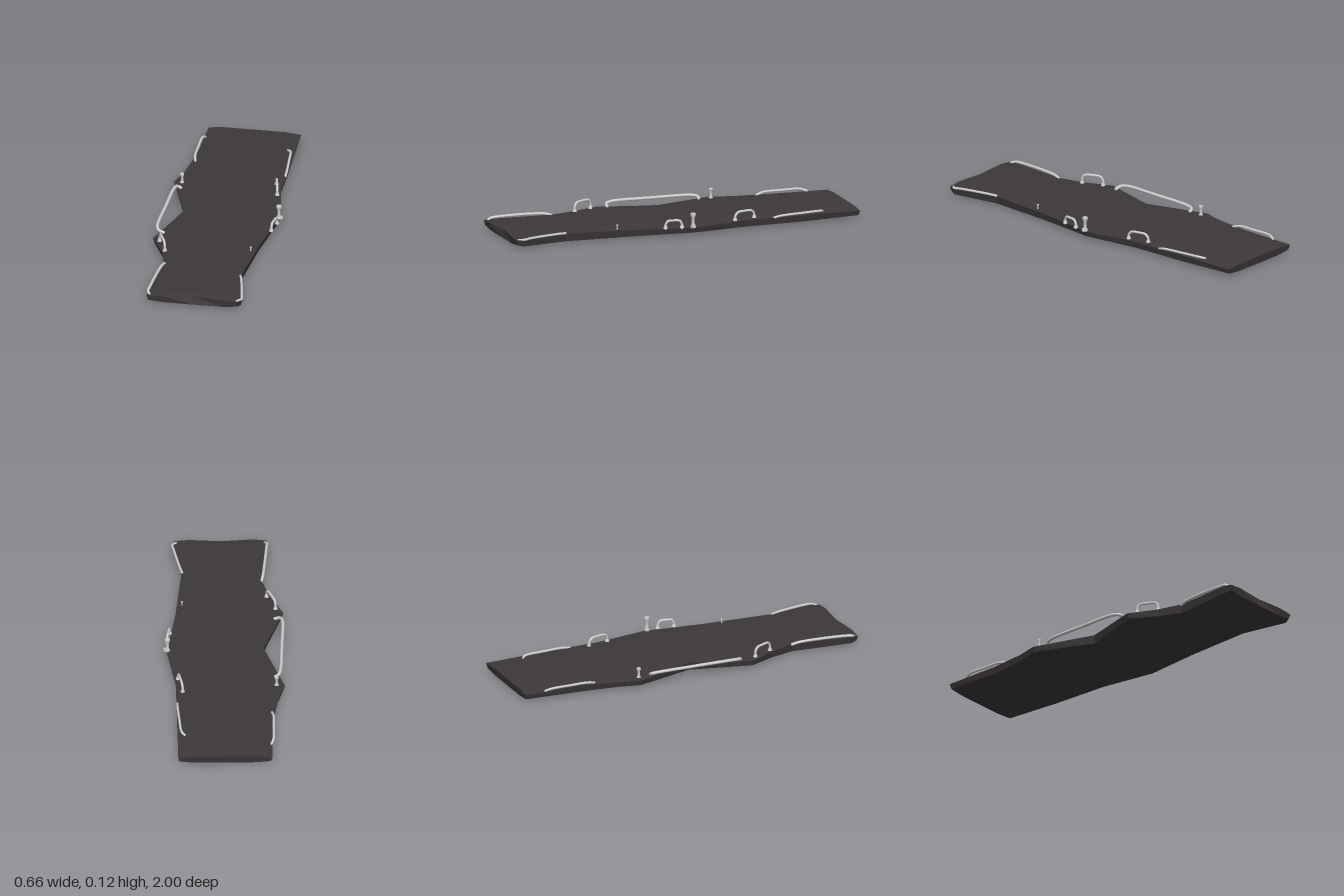
import * as THREE from 'three';

export function createModel() {
  const model = new THREE.Group();
  const dark = new THREE.MeshStandardMaterial({ color: 0x3d383a, flatShading: true });
  const metal = new THREE.MeshStandardMaterial({ color: 0xcccccc });
  const add = (name, geometry, material = metal, parent = model) => {
    const mesh = new THREE.Mesh(geometry, material);
    mesh.name = name;
    parent.add(mesh);
    return mesh;
  };

  // Deck outline: z, left-hand edge x, right-hand edge x
  const leftEdge = [[-1, -0.253], [-0.67, -0.262], [-0.46, -0.295], [-0.34, -0.33], [0, -0.218],
    [0.33, -0.33], [0.48, -0.258], [0.62, -0.215], [0.95, -0.255], [1, -0.25]];
  const rightEdge = [[-1, 0.26], [-0.33, 0.265], [-0.02, 0.312], [0.1, 0.292], [0.32, 0.258],
    [0.7, 0.22], [0.96, 0.272], [1, 0.255]];
  const xAt = (edge, z) => {
    let i = 0;
    while (i < edge.length - 2 && z > edge[i + 1][0]) i++;
    const [a, b] = [edge[i], edge[i + 1]];
    return a[1] + (b[1] - a[1]) * (z - a[0]) / (b[0] - a[0]);
  };
  const topY = x => 0.06 - 0.012 * THREE.MathUtils.clamp((Math.abs(x) - 0.17) / 0.12, 0, 1);
  const bottomY = x => 0.004 + 0.015 * THREE.MathUtils.clamp((Math.abs(x) - 0.16) / 0.15, 0, 1);

  // Deck: cross-section rings along z, crowned above and below, ends tucked in
  const stations = [...new Set([...leftEdge, ...rightEdge].map(p => p[0]))].sort((a, b) => a - b);
  const across = [0, 0.16, 0.5, 0.84, 1];
  const pos = [], idx = [], n = across.length * 2;
  for (const z of stations) {
    const l = xAt(leftEdge, z), r = xAt(rightEdge, z), end = Math.abs(z) === 1;
    for (const t of across) {
      const x = l + (r - l) * t;
      pos.push(x, topY(x) - (end ? 0.004 : 0), z - (z === 1 && t === 0.5 ? 0.015 : 0));
    }
    for (const t of [...across].reverse()) {
      const x = (l + 0.008) + (r - l - 0.016) * t;
      pos.push(x, bottomY(x) + (end ? 0.008 : 0), z * (end ? 0.994 : 1));
    }
  }
  for (let s = 0; s < stations.length - 1; s++) {
    for (let i = 0; i < n; i++) {
      const a = s * n + i, b = s * n + (i + 1) % n;
      idx.push(a, a + n, b, b, a + n, b + n);
    }
  }
  const last = (stations.length - 1) * n;
  for (let i = 0; i < across.length - 1; i++) {
    const a = i, b = i + 1, c = n - 2 - i, d = n - 1 - i;
    idx.push(a, b, c, a, c, d);
    idx.push(last + a, last + c, last + b, last + a, last + d, last + c);
  }
  const deck = new THREE.BufferGeometry();
  deck.setAttribute('position', new THREE.Float32BufferAttribute(pos, 3));
  deck.setIndex(idx);
  deck.computeVertexNormals();
  add('deck', deck, dark);

  // Bent tube through a few points, with capped ends
  const tube = (name, points, radius, parent = model) => {
    const pts = points.map(p => new THREE.Vector3(...p));
    const curve = new THREE.CatmullRomCurve3(pts, false, 'centripetal');
    add(name, new THREE.TubeGeometry(curve, 48, radius, 10), metal, parent);
    for (const p of [pts[0], pts[pts.length - 1]]) {
      add(name + 'End', new THREE.SphereGeometry(radius, 10, 6), metal, parent).position.copy(p);
    }
  };

  // Edge rails
  tube('longSideRail', [[-0.28, 0.055, -0.262], [-0.295, 0.064, -0.262], [-0.306, 0.07, -0.235],
    [-0.318, 0.073, 0], [-0.323, 0.071, 0.235], [-0.31, 0.064, 0.265], [-0.283, 0.055, 0.27]], 0.009);
  tube('frontLeftRail', [[-0.215, 0.052, 0.62], [-0.223, 0.062, 0.66], [-0.246, 0.062, 0.92],
    [-0.248, 0.056, 0.965], [-0.228, 0.04, 0.99]], 0.008);
  tube('frontRightRail', [[0.217, 0.055, 0.7], [0.228, 0.058, 0.74], [0.262, 0.056, 0.92],
    [0.267, 0.052, 0.96], [0.246, 0.048, 0.982]], 0.007);
  tube('rearRightRail', [[0.222, 0.054, -0.795], [0.238, 0.06, -0.775], [0.25, 0.06, -0.66],
    [0.258, 0.057, -0.54], [0.258, 0.05, -0.5]], 0.007);
  tube('rearLeftRail', [[-0.25, 0.052, -0.88], [-0.261, 0.063, -0.85], [-0.264, 0.065, -0.74],
    [-0.264, 0.063, -0.63], [-0.256, 0.052, -0.59]], 0.007);

  // Arched grab handles on flared feet
  const handle = (name, x0, z0, x1, z1, top) => {
    const group = new THREE.Group();
    group.name = name;
    const at = (t, y) => [x0 + (x1 - x0) * t, y, z0 + (z1 - z0) * t];
    tube('handleBar', [at(0, 0.05), at(0.02, top - 0.02), at(0.15, top - 0.003), at(0.5, top),
      at(0.85, top - 0.003), at(0.98, top - 0.02), at(1, 0.05)], 0.007, group);
    for (const t of [0, 1]) {
      add('handleFoot', new THREE.CylinderGeometry(0.008, 0.013, 0.016, 12), metal, group)
        .position.set(...at(t, 0.06));
    }
    model.add(group);
  };
  handle('frontLeftHandle', -0.288, 0.365, -0.24, 0.475, 0.105);
  handle('middleRightHandle', 0.308, 0.055, 0.292, 0.145, 0.095);
  handle('rearRightHandle', 0.228, -0.395, 0.252, -0.275, 0.098);

  // Waisted mooring posts
  const post = (name, x, z, r, h) => {
    const profile = [[0, 0], [1, 0], [1, 0.12], [0.55, 0.3], [0.55, 0.68], [0.95, 0.8], [1, 0.96], [0.85, 1], [0, 1]]
      .map(([a, b]) => new THREE.Vector2(a * r, b * h));
    add(name, new THREE.LatheGeometry(profile, 16), metal).position.set(x, 0.046, z);
  };
  post('rightMooringPost', 0.307, -0.01, 0.015, 0.083);
  post('leftMooringPost', -0.285, -0.335, 0.012, 0.06);
  post('smallRightPost', 0.222, 0.4, 0.006, 0.034);

  // Small foot plate beside the right mooring post
  add('postFootPlate', new THREE.CylinderGeometry(0.01, 0.012, 0.014, 12)).position.set(0.318, 0.058, -0.01);

  // Stand on the ground and centre
  const box = new THREE.Box3().setFromObject(model);
  const c = box.getCenter(new THREE.Vector3());
  for (const child of model.children) child.position.add(new THREE.Vector3(-c.x, -box.min.y, -c.z));
  return model;
}
